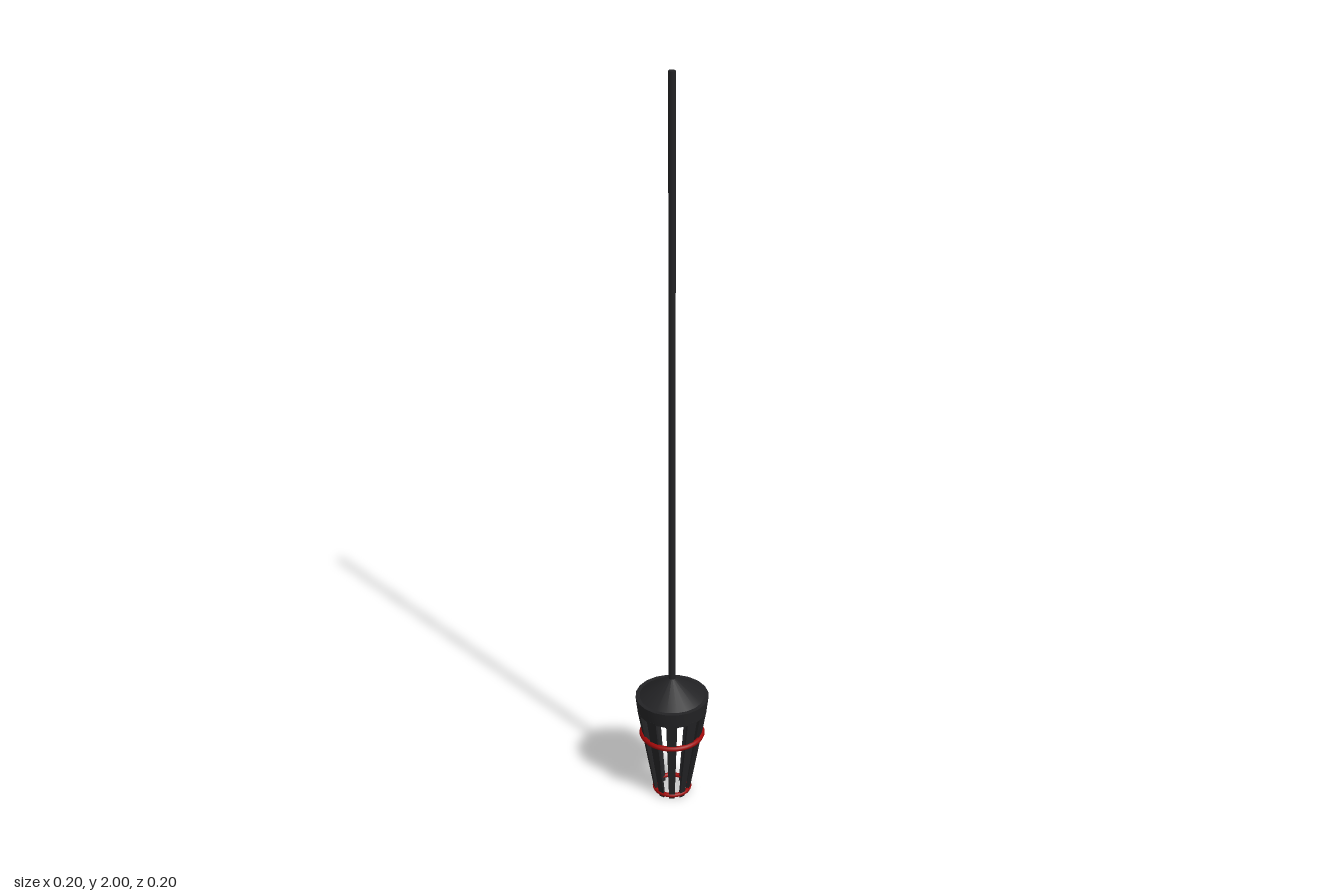
import * as THREE from 'three';
import { toCreasedNormals } from 'three/addons/utils/BufferGeometryUtils.js';

export function createModel() {
  const group = new THREE.Group();
  const dark = new THREE.MeshStandardMaterial({ color: 0x232325 });
  const red = new THREE.MeshStandardMaterial({ color: 0xa00808 });
  const SIDES = 20;
  const STEP = (Math.PI * 2) / SIDES;

  const add = (name, geometry, material) => {
    const mesh = new THREE.Mesh(geometry, material);
    mesh.name = name;
    group.add(mesh);
    return mesh;
  };

  // Long thin hanging rod
  const rod = new THREE.CylinderGeometry(0.009, 0.009, 1.65, 10);
  add('rod', rod, dark).position.y = 1.175;

  // Hollow cap: inner ceiling, rim band, shoulder and cone
  const profile = [
    [0, 0.3], [0.085, 0.3], [0.084, 0.265], [0.093, 0.265],
    [0.098, 0.308], [0.087, 0.308], [0.009, 0.362], [0, 0.362],
  ].map(([r, y]) => new THREE.Vector2(r, y));
  const cap = new THREE.LatheGeometry(profile, SIDES);
  add('cap', toCreasedNormals(cap, 0.5), dark);

  // Tapered cage slats filling every other side of the cap
  const slatGeometry = () => {
    const g = new THREE.BoxGeometry(1, 1, 1);
    const p = g.attributes.position;
    for (let i = 0; i < p.count; i++) {
      const top = p.getY(i) > 0;
      const r = (top ? 0.094 : 0.048) - (p.getZ(i) > 0 ? 0 : 0.008);
      const a = p.getX(i) * STEP;
      p.setXYZ(i, r * Math.sin(a), top ? 0.27 : 0.003, r * Math.cos(a));
    }
    g.computeVertexNormals();
    return g;
  };
  const slat = slatGeometry();
  for (let i = 0; i < SIDES / 2; i++) {
    add('slat', slat, dark).rotation.y = (2 * i + 1.5) * STEP;
  }

  // Red hoops around the cage
  const hoop = (name, y, radius, tube) => {
    const ring = add(name, new THREE.TorusGeometry(radius, tube, 8, 40), red);
    ring.rotation.x = Math.PI / 2;
    ring.position.y = y;
  };
  hoop('upperHoop', 0.19, 0.081, 0.007);
  hoop('lowerHoop', 0.014, 0.047, 0.006);

  // Stand the cage on the ground plane
  const box = new THREE.Box3().setFromObject(group);
  group.children.forEach((m) => { m.position.y -= box.min.y; });
  return group;
}
